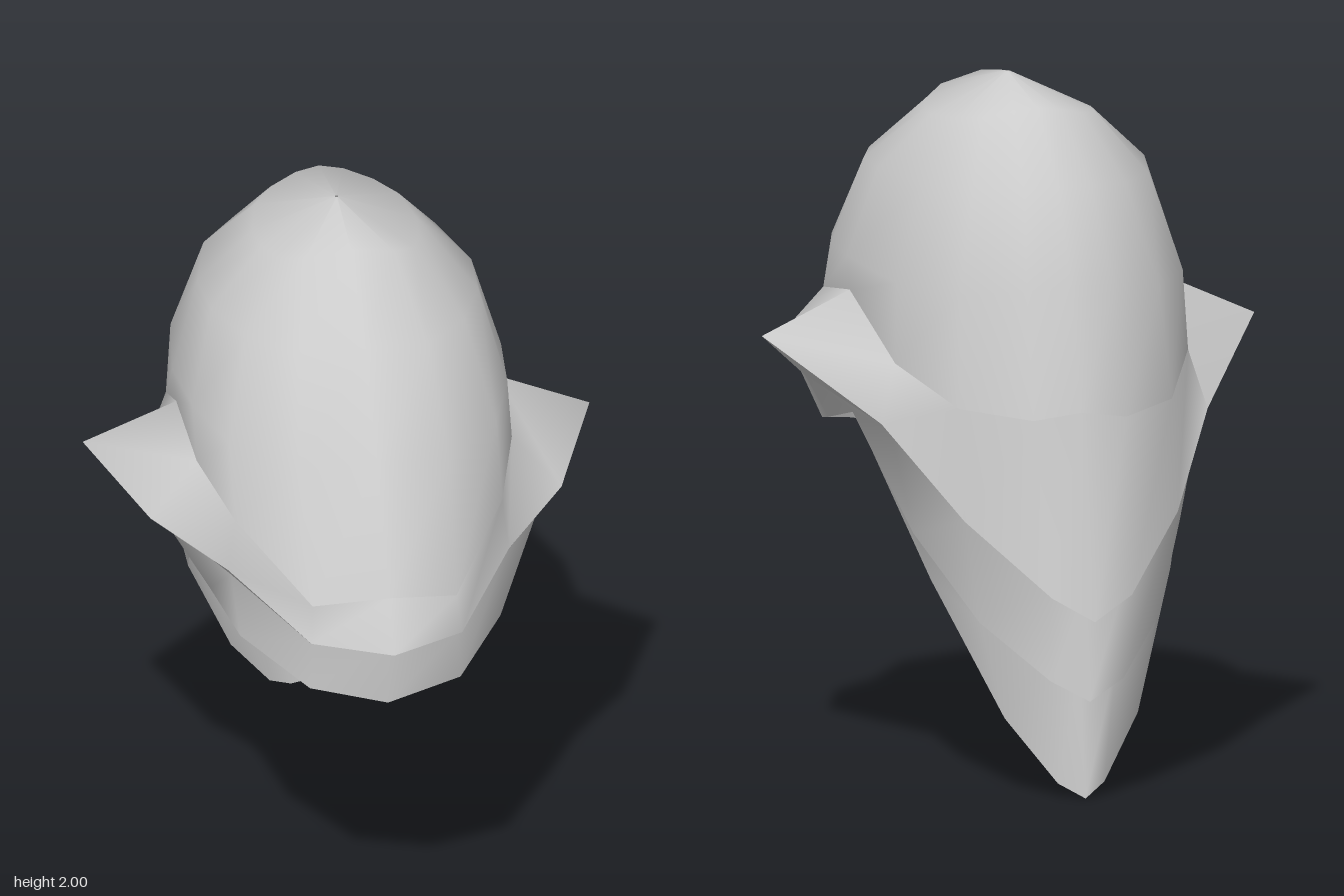
import * as THREE from 'three';

const material = new THREE.MeshStandardMaterial({ color: 0xcccccc, side: THREE.DoubleSide });

// Mirrors a half section that ends on x = 0 into a full one
const mirror = (half) => half.concat(
  half.filter((p) => p[0] !== 0).map(([x, y, z]) => [-x, y, z]).reverse());

// Skins a smooth sheet over rows with equal numbers of points
function skin(name, rows, closed) {
  const n = rows[0].length;
  const index = [];
  for (let r = 0; r < rows.length - 1; r++) {
    for (let c = 0; c < (closed ? n : n - 1); c++) {
      const a = r * n + c, b = r * n + ((c + 1) % n);
      index.push(a, a + n, b, b, a + n, b + n);
    }
  }
  const g = new THREE.BufferGeometry();
  g.setAttribute('position', new THREE.Float32BufferAttribute(rows.flat(2), 3));
  g.setIndex(index);
  g.computeVertexNormals();
  const mesh = new THREE.Mesh(g, material);
  mesh.name = name;
  return mesh;
}

const ringLoft = (name, halves) => skin(name, halves.map(mirror), true);
const openLoft = (name, halves) => skin(name, halves.map(mirror), false);

export function createModel() {
  const model = new THREE.Group();
  model.name = 'hood';

  // Half sections run from the front, round the side, to the back
  const upper = [
    [0, 1.96, 0.2], [0.13, 1.93, 0.17], [0.2, 1.9, 0.1], [0.23, 1.89, 0], [0.24, 1.89, -0.1],
    [0.21, 1.9, -0.24], [0.15, 1.91, -0.32], [0.07, 1.93, -0.36], [0, 1.94, -0.37]];
  const apex = upper.map(([x, , z]) => [x * 0.02, 2, -0.06 + z * 0.02]);
  const shoulder = [
    [0, 1.77, 0.44], [0.19, 1.74, 0.4], [0.32, 1.74, 0.26], [0.39, 1.74, 0.08], [0.4, 1.74, -0.1],
    [0.34, 1.73, -0.35], [0.23, 1.73, -0.49], [0.1, 1.74, -0.57], [0, 1.74, -0.58]];
  const widest = [
    [0, 1.5, 0.65], [0.22, 1.46, 0.59], [0.39, 1.47, 0.4], [0.46, 1.48, 0.17], [0.48, 1.48, -0.06],
    [0.43, 1.45, -0.39], [0.3, 1.44, -0.59], [0.13, 1.46, -0.7], [0, 1.47, -0.71]];
  const foot = [
    [0, 1.17, 0.86], [0.21, 1.12, 0.78], [0.39, 1.27, 0.5], [0.46, 1.34, 0.25], [0.47, 1.38, -0.05],
    [0.44, 1.22, -0.41], [0.32, 1.12, -0.65], [0.14, 1.1, -0.8], [0, 1.12, -0.815]];
  const lip = [
    [0, 1.03, 0.95], [0.22, 1.02, 0.82], [0.41, 1.11, 0.5], [0.6, 1.18, 0.28], [0.74, 1.26, -0.07],
    [0.49, 1.05, -0.44], [0.32, 0.8, -0.71], [0.12, 0.6, -0.92], [0, 0.53, -0.95]];
  const brimTop = [
    [0, 1.01, 0.85], [0.21, 1.01, 0.8], [0.4, 1.09, 0.49], [0.55, 1.15, 0.26], [0.61, 1.14, -0.07],
    [0.46, 1.03, -0.43], [0.315, 0.8, -0.7], [0.115, 0.62, -0.86], [0, 0.58, -0.84]];
  const brimBottom = [
    [0, 0.82, 0.84], [0.22, 0.86, 0.79], [0.38, 0.91, 0.53], [0.43, 0.95, 0.3], [0.44, 1.01, 0.02],
    [0.4, 0.73, -0.46], [0.27, 0.5, -0.69], [0.11, 0.35, -0.87], [0, 0.29, -0.9]];

  model.add(ringLoft('crown', [apex, upper, shoulder, widest, foot]));
  model.add(ringLoft('flare', [foot, lip]));
  model.add(ringLoft('lipUnderside', [lip, brimTop]));
  model.add(ringLoft('brim', [brimTop, brimBottom]));

  // Lowest layer, hanging only at the back
  const tailTop = [
    [0.44, 1.01, 0.02], [0.395, 0.74, -0.455], [0.265, 0.5, -0.68], [0.105, 0.39, -0.81], [0, 0.37, -0.79]];
  const tailEnd = [
    [0.43, 0.98, -0.02], [0.36, 0.6, -0.5], [0.2, 0.22, -0.71], [0.07, 0.04, -0.81], [0, 0, -0.855]];
  model.add(openLoft('tailStep', [brimBottom.slice(4), tailTop]));
  model.add(openLoft('tail', [tailTop, tailEnd]));

  // Chin guard inside the hood
  const cheek = [[0, 0.82, 0.26], [0.17, 0.82, 0.24], [0.2, 0.82, -0.07], [0.2, 0.82, -0.25], [0, 0.82, -0.31]];
  const jaw = [[0, 0.61, 0.17], [0.16, 0.61, 0.15], [0.18, 0.62, -0.03], [0.16, 0.64, -0.22], [0, 0.66, -0.26]];
  const chin = [[0, 0.56, 0.13], [0.14, 0.56, 0.12], [0.15, 0.55, -0.03], [0.13, 0.55, -0.17], [0, 0.55, -0.19]];
  const chinCentre = chin.map(([x, , z]) => [x * 0.01, 0.555, z * 0.01]);
  model.add(ringLoft('chinGuard', [cheek, jaw, chin]));
  model.add(ringLoft('chinBase', [chin, chinCentre]));

  // Back of the head, rising into the hood behind the eye openings
  const headTop = [[0.32, 1.06, 0.17], [0.32, 1.1, -0.25], [0, 1.1, -0.42]];
  model.add(openLoft('headBack', [headTop, cheek.slice(2)]));

  // Neck running from the head back into the tail
  const neckSection = (y, z) => [[0.19, y + 0.14, z], [0.14, y, z], [0, y, z]];
  model.add(openLoft('neck', [neckSection(0.7, -0.26), neckSection(0.66, -0.4), neckSection(0.6, -0.62)]));

  // Posts in front of the eye openings
  for (const [name, s] of [['leftPost', 1], ['rightPost', -1]]) {
    model.add(skin(name, [
      [[s * 0.24, 0.97, 0.3], [s * 0.28, 0.99, 0.18]],
      [[s * 0.17, 0.82, 0.24], [s * 0.195, 0.82, 0.18]]], false));
  }
  return model;
}
